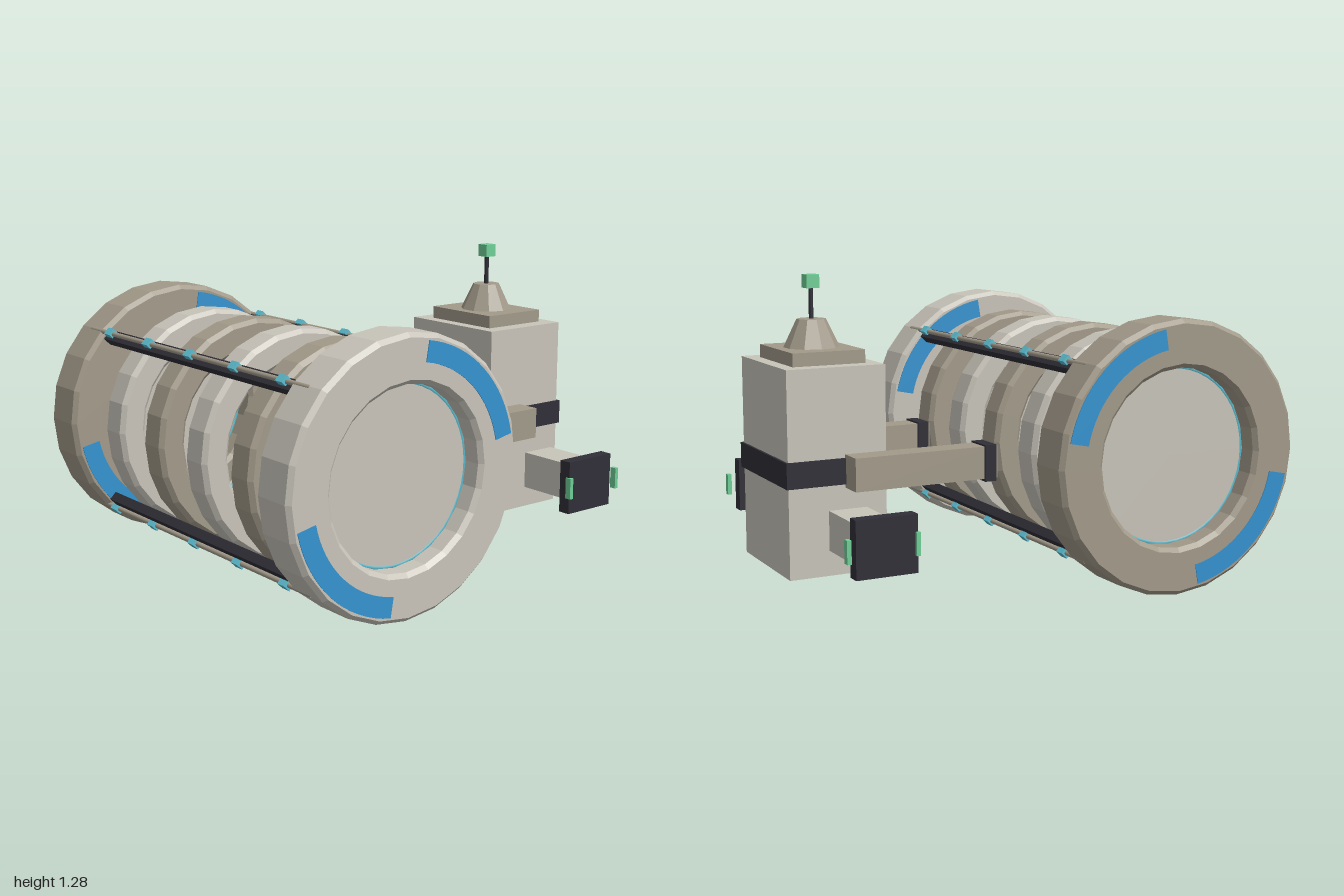
import * as THREE from 'three';

export function createModel() {
  const root = new THREE.Group();
  root.name = 'station';

  const paint = (name, color) => {
    const m = new THREE.MeshStandardMaterial({ color });
    m.name = name;
    return m;
  };
  const light = paint('light grey', 0xc8c4ba);
  const tan = paint('warm grey', 0xa29a8a);
  const dark = paint('charcoal', 0x302e37);
  const blue = paint('blue', 0x3593d0);
  const cyan = paint('cyan', 0x5cbdd0);
  const green = paint('green', 0x6fcf97);

  const add = (name, geo, mat, x, y, z, parent = root) => {
    const m = new THREE.Mesh(geo, mat);
    m.name = name;
    m.position.set(x, y, z);
    parent.add(m);
    return m;
  };
  const box = (name, mat, w, h, d, x, y, z, parent) =>
    add(name, new THREE.BoxGeometry(w, h, d), mat, x, y, z, parent);
  // Facet a geometry
  const flat = (geo) => {
    const g = geo.index ? geo.toNonIndexed() : geo;
    g.computeVertexNormals();
    return g;
  };

  // Chamfered ring with its hole along z
  const ringGeo = (outer, inner, width, c) => {
    const h = width / 2;
    const profile = [
      [inner, -h + c], [inner + c, -h], [outer - c, -h], [outer, -h + c],
      [outer, h - c], [outer - c, h], [inner + c, h], [inner, h - c], [inner, -h + c],
    ].map(([r, y]) => new THREE.Vector2(r, y));
    return flat(new THREE.LatheGeometry(profile, 24).rotateX(Math.PI / 2));
  };

  // Drum: two end rings and four ribs, alternating in colour
  const drum = new THREE.Group();
  drum.name = 'drum';
  drum.position.set(-0.44, 0.56, 0);
  root.add(drum);
  for (let i = 0; i < 6; i++) {
    const z = [-0.79, -0.475, -0.16, 0.16, 0.475, 0.79][i];
    const end = i === 0 || i === 5;
    const geo = end ? ringGeo(0.56, 0.365, 0.2, 0.018) : ringGeo(0.485, 0.365, 0.14, 0.018);
    add(end ? 'endRing' : 'rib', geo, i % 2 ? light : tan, 0, 0, z, drum);
    add('glowRing', new THREE.TorusGeometry(0.36, 0.012, 6, 48), cyan, 0, 0, z, drum);
    if (end) {
      const disc = new THREE.CylinderGeometry(0.36, 0.36, 0.02, 32).rotateX(Math.PI / 2);
      add('endDisc', disc, light, 0, 0, z, drum);
    }
  }

  // Painted arcs on both faces of the end rings
  for (const start of [0.2, 0.2 + Math.PI]) {
    const s = new THREE.Shape();
    s.absarc(0, 0, 0.53, start, start + 1.2, false);
    s.absarc(0, 0, 0.447, start + 1.2, start, true);
    const arc = new THREE.ExtrudeGeometry(s, { depth: 0.006, bevelEnabled: false, curveSegments: 8 });
    arc.translate(0, 0, -0.003);
    for (const z of [-0.89, -0.69, 0.69, 0.89]) add('paintedArc', arc, blue, 0, 0, z, drum);
  }

  // Four rails along the drum with clips
  for (let i = 0; i < 4; i++) {
    const rail = new THREE.Group();
    rail.name = 'rail';
    rail.rotation.z = Math.PI / 4 + (i * Math.PI) / 2;
    drum.add(rail);
    box('railBeam', dark, 0.04, 0.05, 1.4, 0.515, 0, 0, rail);
    const pipe = new THREE.CylinderGeometry(0.011, 0.011, 1.6, 8).rotateX(Math.PI / 2);
    add('railPipe', pipe, tan, 0.551, 0, 0, rail);
    for (const z of [-0.635, -0.32, 0, 0.32, 0.635]) {
      box('railClip', cyan, 0.024, 0.034, 0.045, 0.556, 0, z, rail);
    }
  }

  // Tower body, band and windows
  const X = 0.775;
  box('towerBody', light, 0.42, 0.84, 0.525, X, 0.51, 0);
  box('towerBand', dark, 0.44, 0.105, 0.55, X, 0.512, 0);
  box('upperWindow', blue, 0.009, 0.08, 0.31, 0.561, 0.722, 0);
  box('lowerWindow', cyan, 0.009, 0.075, 0.31, 0.561, 0.3, 0);

  // Roof, cone and antenna
  box('roofPlate', tan, 0.31, 0.055, 0.38, X, 0.957, 0);
  add('roofCone', flat(new THREE.CylinderGeometry(0.06, 0.115, 0.115, 10)), tan, X, 1.042, 0);
  add('antenna', new THREE.CylinderGeometry(0.01, 0.01, 0.14, 8), dark, X, 1.165, 0);
  box('beacon', green, 0.055, 0.055, 0.055, X, 1.252, 0);

  // Arms and side pods, mirrored front to back
  for (const s of [-1, 1]) {
    box('arm', tan, 0.63, 0.135, 0.106, 0.43, 0.512, s * 0.32);
    box('armCollar', dark, 0.05, 0.152, 0.125, 0.15, 0.51, s * 0.32);
    box('podStem', light, 0.16, 0.16, 0.28, X, 0.3, s * 0.5);
    box('podPlate', dark, 0.255, 0.23, 0.055, 0.757, 0.298, s * 0.668);
    for (const x of [0.632, 0.916]) box('podLight', green, 0.018, 0.092, 0.028, x, 0.298, s * 0.694);
  }
  return root;
}
